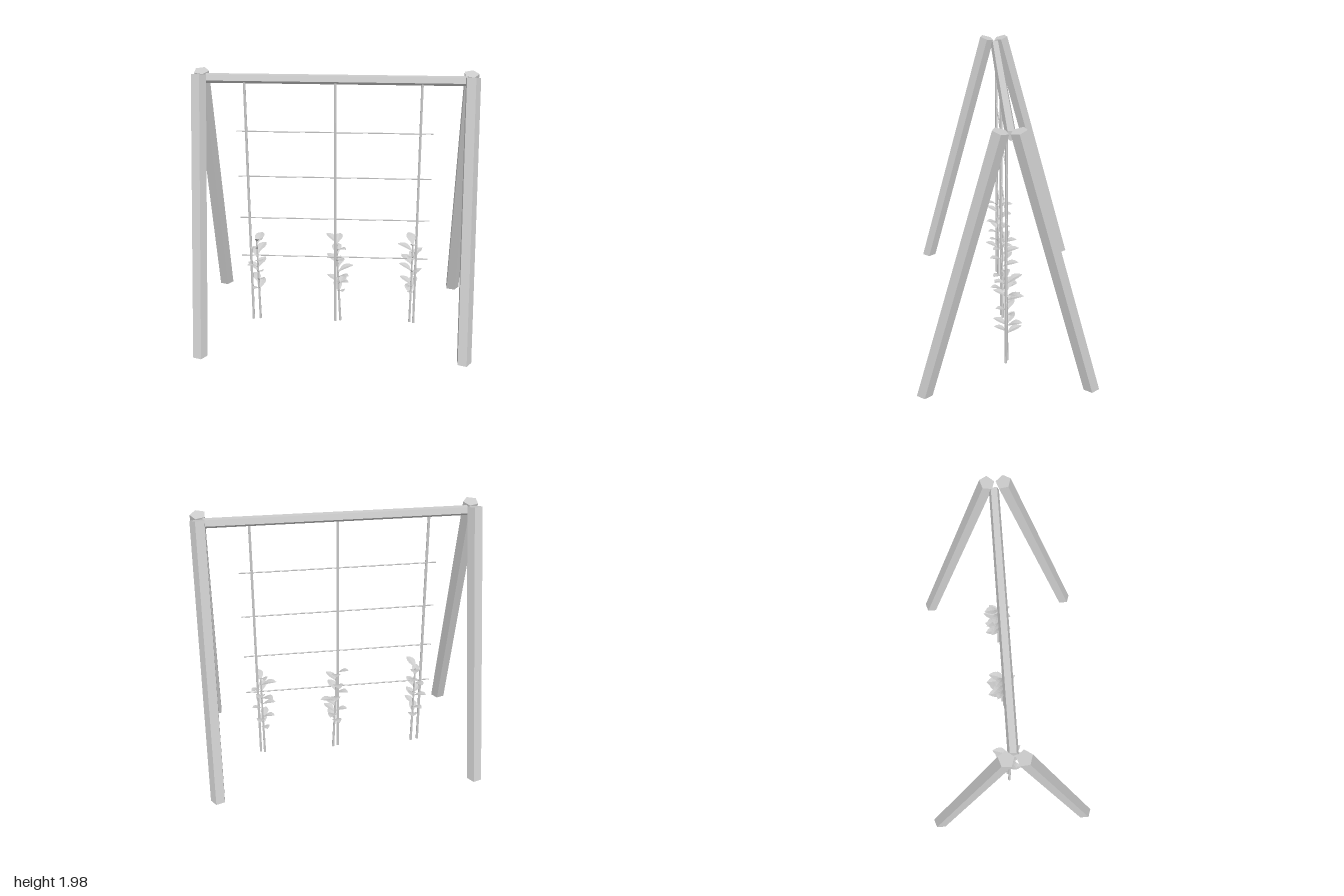
import * as THREE from 'three';

const material = new THREE.MeshStandardMaterial({ color: 0xcccccc, flatShading: true });
const leafMaterial = new THREE.MeshStandardMaterial({ color: 0xcccccc, flatShading: true, side: THREE.DoubleSide });
const V = (x, y, z) => new THREE.Vector3(x, y, z);

function mesh(name, geometry, mat = material) {
  const m = new THREE.Mesh(geometry, mat);
  m.name = name;
  return m;
}

// Straight tapered rod between two points
function rod(name, a, b, r0, r1 = r0, sides = 6) {
  const m = mesh(name, new THREE.CylinderGeometry(r1, r0, a.distanceTo(b), sides));
  m.position.copy(a).lerp(b, 0.5);
  m.quaternion.setFromUnitVectors(V(0, 1, 0), b.clone().sub(a).normalize());
  return m;
}

// Five-sided leaning leg, cut level at the foot and square at the top
function leg(name, x, side) {
  const foot = V(x, 0.02, 0.578 * side), top = V(x, 1.967, 0.055 * side);
  const axis = top.clone().sub(foot);
  const g = new THREE.CylinderGeometry(0.055, 0.055, axis.length(), 5, 1, false, Math.PI / 2);
  g.rotateX(Math.atan2(axis.z, axis.y));
  g.translate(x, (foot.y + top.y) / 2, (foot.z + top.z) / 2);
  const p = g.attributes.position;
  for (let i = 0; i < p.count; i++) {
    if (p.getY(i) > 1) continue;
    const t = (foot.y - p.getY(i)) / axis.y;
    p.setXYZ(i, p.getX(i), foot.y, p.getZ(i) + axis.z * t);
  }
  g.computeVertexNormals();
  return mesh(name, g);
}

// Unit leaf along +z: pointed oval, folded at the midrib and slightly arched
function leafGeometry() {
  const g = new THREE.PlaneGeometry(2, 1, 2, 6).rotateX(-Math.PI / 2);
  const widths = [0.04, 0.11, 0.21, 0.27, 0.26, 0.17, 0.01];
  const p = g.attributes.position;
  for (let i = 0; i < p.count; i++) {
    const z = p.getZ(i) + 0.5, w = widths[Math.round(z * 6)];
    const x = p.getX(i) * w;
    p.setXYZ(i, x, Math.abs(x) * 0.2 + 0.1 * Math.sin(Math.PI * z), z);
  }
  g.computeVertexNormals();
  return g;
}

// Climbing plant: slim stem and leaves reaching to the listed tips
function plant(name, foot, top, tips) {
  const group = new THREE.Group();
  group.name = name;
  group.add(rod('stem', foot, top, 0.01, 0.006));
  const g = leafGeometry();
  for (const [x, y, z] of tips) {
    const tip = V(x, y, z);
    const base = foot.clone().lerp(top, Math.min(1, (y - 0.045) / top.y));
    const leaf = mesh('leaf', g, leafMaterial);
    leaf.position.copy(base);
    leaf.lookAt(tip);
    leaf.scale.setScalar(base.distanceTo(tip));
    group.add(leaf);
  }
  return group;
}

export function createModel() {
  const model = new THREE.Group();
  model.name = 'plantTrellis';

  // A-frame legs
  for (const side of [1, -1]) {
    const end = side > 0 ? 'front' : 'back';
    model.add(leg(end + 'RightLeg', -0.955, side), leg(end + 'LeftLeg', 0.945, side));
  }

  // Five-sided top beam with its flat face up
  const beam = new THREE.CylinderGeometry(0.036, 0.036, 1.83, 5, 1, false, Math.PI / 2);
  beam.rotateZ(-Math.PI / 2).translate(0, 1.927, -0.01);
  model.add(mesh('topBeam', beam));

  // Upright poles and horizontal wires
  for (const x of [-0.645, -0.003, 0.605])
    model.add(rod('uprightPole', V(x, 0, -0.004), V(x, 1.91, -0.004), 0.01));
  for (const y of [0.553, 0.865, 1.195, 1.54])
    model.add(rod('crossWire', V(-0.715, y, -0.004), V(0.695, y, -0.004), 0.0045));

  // Climbing plants
  model.add(plant('rightPlant', V(-0.592, 0, -0.015), V(-0.6, 0.665, -0.01), [
    [-0.55, 0.72, 0.08], [-0.57, 0.69, -0.13], [-0.63, 0.645, 0.08], [-0.545, 0.61, -0.12],
    [-0.56, 0.54, 0.085], [-0.64, 0.575, -0.12], [-0.68, 0.46, -0.08], [-0.55, 0.49, -0.11],
    [-0.67, 0.49, 0.05], [-0.555, 0.45, 0.07], [-0.545, 0.38, 0.06], [-0.64, 0.355, -0.11],
    [-0.62, 0.31, 0.09], [-0.57, 0.3, -0.13],
  ]));
  model.add(plant('middlePlant', V(0.035, 0, -0.015), V(0.005, 0.665, -0.01), [
    [-0.075, 0.72, -0.07], [0.03, 0.7, -0.12], [0.08, 0.645, 0.06], [0.0, 0.61, -0.14],
    [-0.07, 0.54, -0.09], [0.06, 0.56, 0.085], [0.135, 0.465, -0.05], [0.03, 0.5, -0.135],
    [0.1, 0.42, 0.06], [-0.07, 0.375, -0.06], [0.1, 0.365, 0.05], [0.07, 0.345, -0.12],
    [0.06, 0.3, 0.08], [0.0, 0.295, -0.13],
  ]));
  model.add(plant('leftPlant', V(0.575, 0, -0.015), V(0.58, 0.665, -0.01), [
    [0.55, 0.72, -0.12], [0.59, 0.7, 0.08], [0.465, 0.655, -0.05], [0.655, 0.61, -0.08],
    [0.55, 0.6, 0.085], [0.6, 0.57, -0.13], [0.5, 0.54, -0.11], [0.48, 0.485, -0.06],
    [0.61, 0.48, 0.07], [0.655, 0.445, -0.06], [0.49, 0.37, -0.07], [0.545, 0.355, 0.085],
    [0.61, 0.35, -0.12], [0.57, 0.3, 0.08], [0.55, 0.285, -0.12],
  ]));

  return model;
}
